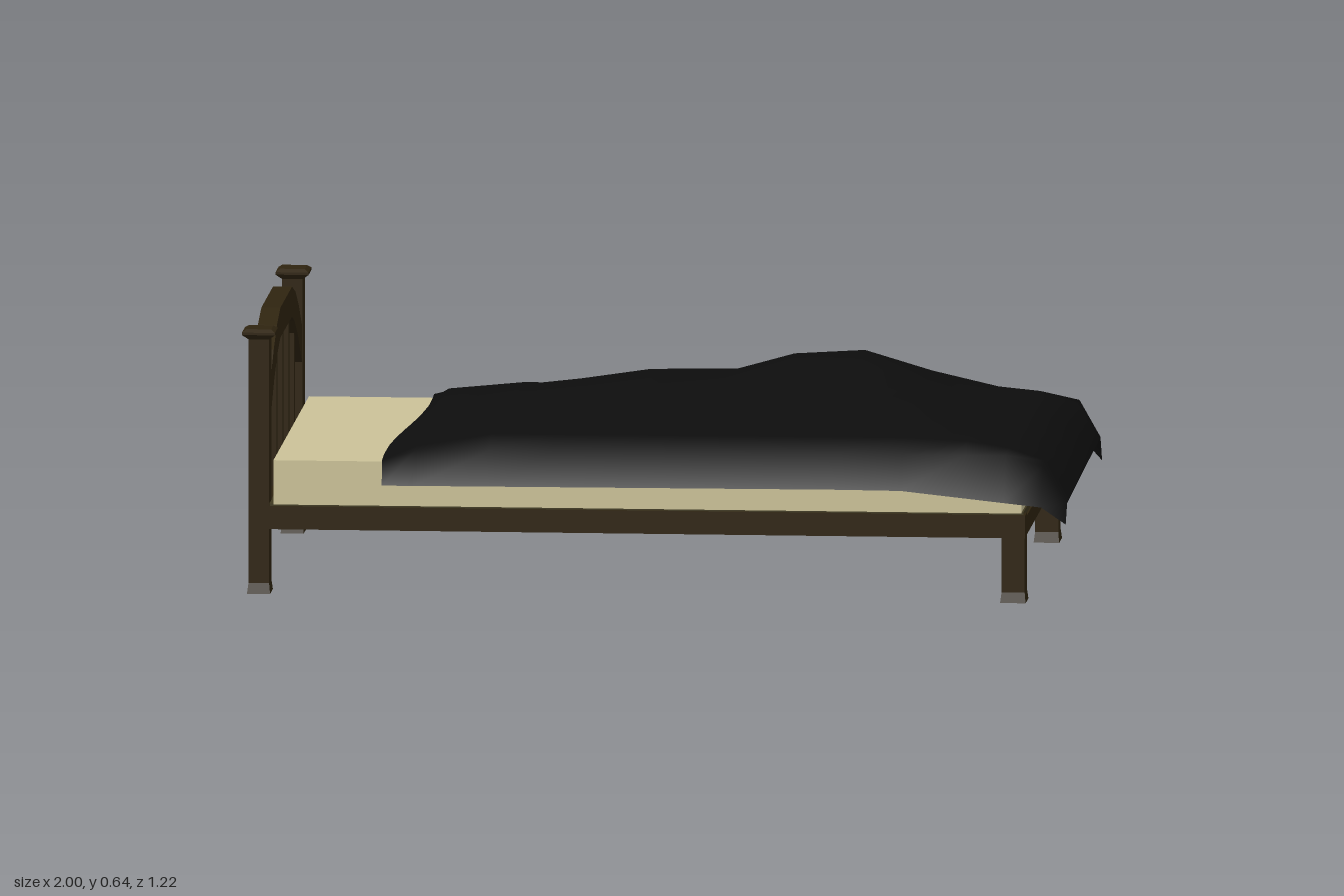
import * as THREE from 'three';

const wood = new THREE.MeshStandardMaterial({ color: 0x2f2410 });
wood.name = 'dark wood';
const boardPaint = new THREE.MeshStandardMaterial({ color: 0x3f3820 });
boardPaint.name = 'olive brown board';
const cream = new THREE.MeshStandardMaterial({ color: 0xcbc298 });
cream.name = 'cream';
const black = new THREE.MeshStandardMaterial({ color: 0x0d0d0d, side: THREE.DoubleSide });
black.name = 'black fabric';

const ZC = -0.007; // centre line of the bed frame

// Box given by its lower and upper corners
function box(name, material, [x0, y0, z0], [x1, y1, z1]) {
  const mesh = new THREE.Mesh(new THREE.BoxGeometry(x1 - x0, y1 - y0, z1 - z0), material);
  mesh.position.set((x0 + x1) / 2, (y0 + y1) / 2, (z0 + z1) / 2);
  mesh.name = name;
  return mesh;
}

// Four-sided tapering block: bottom size [x, z] and top size [x, z]
function taper(y0, y1, bottom, top) {
  const geo = new THREE.BoxGeometry(1, y1 - y0, 1);
  const p = geo.attributes.position;
  for (let i = 0; i < p.count; i++) {
    const size = p.getY(i) > 0 ? top : bottom;
    p.setXYZ(i, p.getX(i) * size[0], p.getY(i) + (y0 + y1) / 2, p.getZ(i) * size[1]);
  }
  geo.computeVertexNormals();
  return new THREE.Mesh(geo, wood);
}

function post(name, x, z, height, w, d, capped) {
  const g = new THREE.Group();
  g.name = name;
  g.add(taper(0, 0.025, [w + 0.006, d + 0.018], [w, d]));
  g.add(taper(0.025, height, [w, d], [w, d]));
  if (capped) {
    g.add(taper(height - 0.005, height + 0.007, [w, d], [0.08, 0.088]));
    g.add(taper(height + 0.007, height + 0.013, [0.08, 0.088], [0.08, 0.088]));
    g.add(taper(height + 0.013, height + 0.02, [0.08, 0.088], [0.06, 0.066]));
  }
  g.position.set(x, 0, z);
  return g;
}

// Arched top rail of the headboard
function arch() {
  const outer = [[0.458, 0.51], [0.365, 0.572], [0.272, 0.618], [0.17, 0.645]];
  const inner = [[0.17, 0.572], [0.245, 0.55], [0.345, 0.5], [0.458, 0.418]];
  const mirror = (pts) => pts.map(([z, y]) => [-z, y]).reverse();
  const outline = [...outer, ...mirror(outer), ...mirror(inner), ...inner];
  const shape = new THREE.Shape(outline.map(([z, y]) => new THREE.Vector2(z, y)));
  const geo = new THREE.ExtrudeGeometry(shape, { depth: 0.046, bevelEnabled: false });
  geo.rotateY(Math.PI / 2);
  geo.translate(-0.983, 0, ZC);
  const mesh = new THREE.Mesh(geo, wood);
  mesh.name = 'headboardArch';
  return mesh;
}

// Draped blanket: the lower of a lengthwise and a crosswise profile at each point
function blanket() {
  const along = [[-0.64, 0.335], [-0.58, 0.358], [-0.4, 0.388], [-0.25, 0.405], [-0.08, 0.43], [0.1, 0.445],
    [0.28, 0.495], [0.45, 0.505], [0.6, 0.44], [0.75, 0.382], [0.85, 0.365], [0.94, 0.335], [0.995, 0.245]];
  const across = [[-0.592, 0.275], [-0.54, 0.345], [-0.48, 0.375], [-0.35, 0.432], [-0.19, 0.505], [-0.06, 0.495],
    [0.05, 0.445], [0.18, 0.43], [0.3, 0.41], [0.45, 0.388], [0.54, 0.36], [0.588, 0.28]];
  const n = across.length;
  const pos = [], index = [];
  along.forEach(([x, hx], i) => across.forEach(([z, hz], j) => {
    const t = (x + 0.64) / 1.635;
    const edge = j === 0 || j === n - 1;
    const foot = i === along.length - 1;
    let y = Math.min(hx, hz);
    if (edge) y -= 0.045 * Math.max(0, (t - 0.75) / 0.25) + (foot && j === 0 ? 0.02 : 0);
    const px = x + (i === 0 ? 0.022 * Math.cos(z * 4 + 1.6) : 0) + (foot ? 0.008 * z : 0);
    pos.push(px, y, z + 0.017 - 0.035 * t);
    if (i && j) {
      const a = (i - 1) * n + j - 1, b = a + n;
      index.push(a, a + 1, b, b, a + 1, b + 1);
    }
  }));
  const geo = new THREE.BufferGeometry();
  geo.setAttribute('position', new THREE.Float32BufferAttribute(pos, 3));
  geo.setIndex(index);
  geo.computeVertexNormals();
  const mesh = new THREE.Mesh(geo, black);
  mesh.name = 'blanket';
  return mesh;
}

export function createModel() {
  const bed = new THREE.Group();
  bed.name = 'bed';

  // Posts, legs and side rails, mirrored across the bed
  for (const s of [1, -1]) {
    const side = s > 0 ? 'front' : 'back';
    bed.add(post(side + 'HeadPost', -0.96, ZC + s * 0.492, 0.625, 0.05, 0.066, true));
    bed.add(post(side + 'FootLeg', 0.868, ZC + s * 0.492, 0.17, 0.056, 0.066, false));
    const z = ZC + s * 0.499;
    bed.add(box(side + 'SideRail', wood, [-0.94, 0.157, z - 0.025], [0.897, 0.213, z + 0.025]));
  }

  // End rails
  bed.add(box('footRail', wood, [0.847, 0.157, ZC - 0.48], [0.896, 0.203, ZC + 0.48]));
  bed.add(box('headRail', wood, [-0.983, 0.157, ZC - 0.48], [-0.937, 0.213, ZC + 0.48]));

  // Headboard
  bed.add(arch());
  [[-0.345, 0.51], [-0.178, 0.58], [0, 0.58], [0.178, 0.58], [0.345, 0.51]].forEach(([z, top], i) => {
    bed.add(box('spindle' + (i + 1), wood, [-0.975, 0.2, ZC + z - 0.015], [-0.945, top, ZC + z + 0.015]));
  });

  // Bedding
  bed.add(box('baseBoard', boardPaint, [-0.936, 0.19, ZC - 0.518], [0.892, 0.219, ZC + 0.518]));
  bed.add(box('mattress', cream, [-0.925, 0.217, ZC - 0.521], [0.888, 0.325, ZC + 0.521]));
  bed.add(blanket());
  return bed;
}
